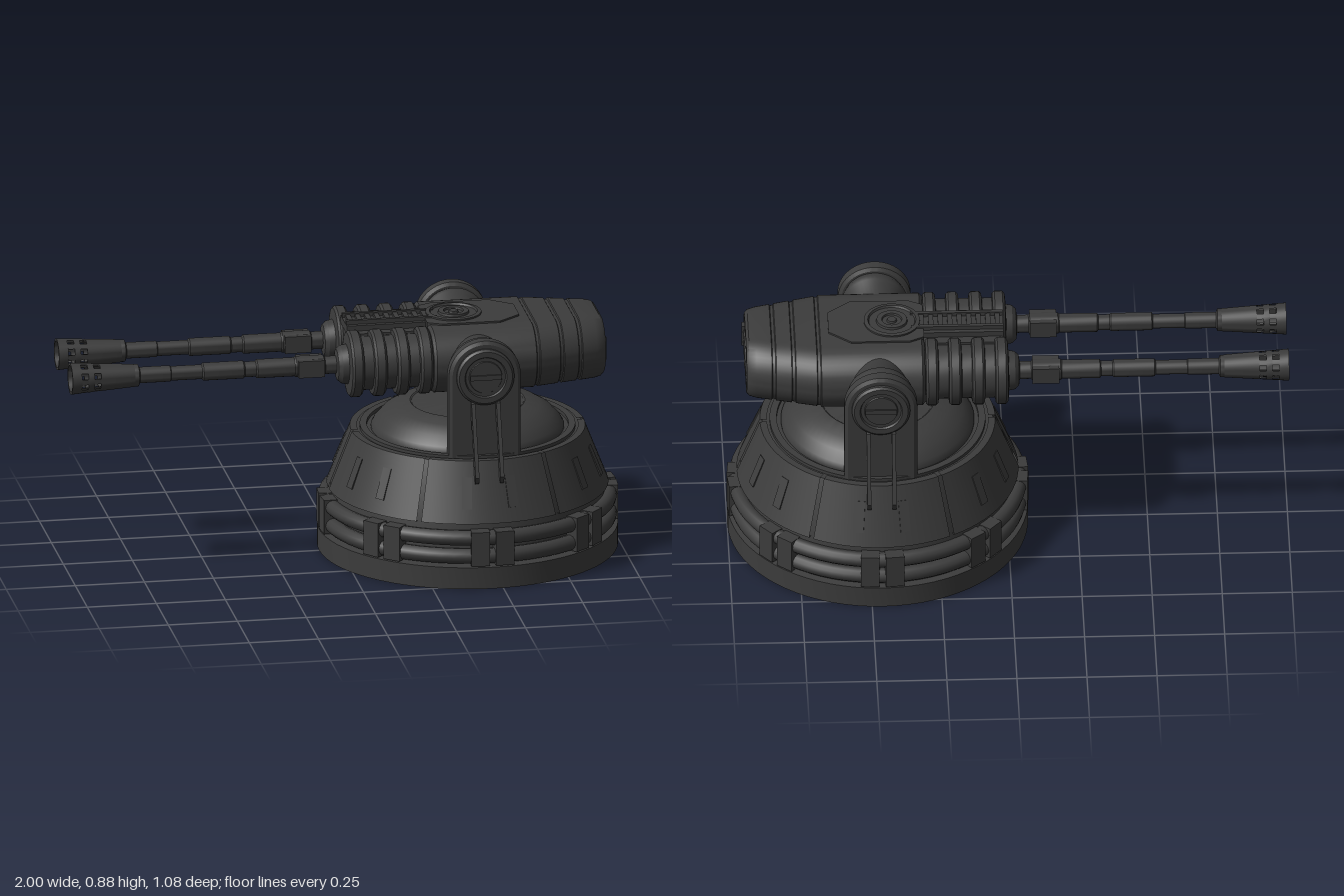
import * as THREE from 'three';
import { toCreasedNormals } from 'three/addons/utils/BufferGeometryUtils.js';

const BX = 0.463;  // turret axis
const GY = 0.742;  // gun axis height
const mat = new THREE.MeshStandardMaterial({ color: 0x3c3c3c, side: THREE.DoubleSide });
const rad = THREE.MathUtils.degToRad;

function add(parent, name, geo, x = 0, y = 0, z = 0) {
  const m = new THREE.Mesh(geo, mat);
  m.name = name;
  m.position.set(x, y, z);
  parent.add(m);
  return m;
}
const group = (parent, name, x = 0, y = 0, z = 0) => {
  const g = new THREE.Group();
  g.name = name;
  g.position.set(x, y, z);
  parent.add(g);
  return g;
};
const box = (x, y, z) => new THREE.BoxGeometry(x, y, z);

// profile of [radius, height] pairs turned around 'x', 'y' or 'z'
function turn(points, axis = 'y', seg = 48, start = 0, length = Math.PI * 2) {
  const g = new THREE.LatheGeometry(points.map(p => new THREE.Vector2(p[0], p[1])), seg, start, length);
  if (axis === 'x') g.rotateZ(-Math.PI / 2);
  if (axis === 'z') g.rotateX(Math.PI / 2);
  return toCreasedNormals(g, rad(32));
}

// a turned shape along x, pulled apart sideways into a rounded slab that tapers to the rear
const spread = x => 0.144 - 0.074 * THREE.MathUtils.clamp((x - 0.66) / 0.27, 0, 1);
function slab(points) {
  const g = new THREE.LatheGeometry(points.map(p => new THREE.Vector2(p[0], p[1])), 48, Math.PI / 48);
  g.rotateZ(-Math.PI / 2);
  const p = g.attributes.position;
  for (let i = 0; i < p.count; i++) {
    const z = p.getZ(i);
    if (Math.abs(z) > 1e-5) p.setZ(i, z + Math.sign(z) * spread(p.getX(i)));
  }
  return toCreasedNormals(g, rad(32));
}

function buildBase(root) {
  const base = group(root, 'base', BX);
  add(base, 'baseRing', turn([[0.505, 0.08], [0.505, 0], [0.537, 0], [0.537, 0.08], [0.49, 0.085]], 'y', 72));
  add(base, 'hullShell', turn([[0.49, 0.08], [0.49, 0.235], [0.412, 0.438], [0.345, 0.438], [0.345, 0.445],
    [0.335, 0.463], [0.305, 0.495], [0.26, 0.522], [0.205, 0.536], [0.2, 0.533], [0, 0.54]], 'y', 72));
  add(base, 'deckRing', turn([[0.385, 0.436], [0.385, 0.45], [0.36, 0.45], [0.36, 0.436]], 'y', 72));
  for (const y of [0.114, 0.182])
    add(base, 'pipeRing', new THREE.TorusGeometry(0.505, 0.028, 12, 72).rotateX(Math.PI / 2), 0, y);
  // paired clamps over the pipes
  for (let i = 0; i < 8; i++) for (const s of [-1, 1]) {
    const pivot = group(base, 'pipeClamp');
    pivot.rotation.y = rad(i * 45 + s * 4.8);
    add(pivot, 'clampFace', box(0.066, 0.126, 0.05), 0, 0.148, 0.512);
  }
  // six armour panels with gaps, each with slot covers
  const slope = Math.atan2(0.085, 0.205);
  for (let i = 0; i < 6; i++) {
    const from = 30 + i * 60;
    add(base, 'armourPanel', turn([[0.488, 0.232], [0.503, 0.232], [0.42, 0.443], [0.395, 0.443]], 'y', 14, rad(from + 1), rad(58)));
    for (const a of [20, 40]) {
      const pivot = group(base, 'slotCover');
      pivot.rotation.y = rad(from + a);
      const slot = add(pivot, 'slot', box(0.036, 0.115, 0.008), 0, 0.335, 0.462);
      slot.rotation.x = -slope;
      slot.rotation.order = 'YXZ';
    }
  }
}

function buildYoke(root, s) {
  const yoke = group(root, 'yoke', BX, 0, 0);
  // round-topped arm with a chamfered rim
  const w = 0.118, shape = new THREE.Shape();
  shape.moveTo(-w, 0.42);
  shape.lineTo(w, 0.42);
  shape.lineTo(w, GY);
  shape.absarc(0, GY, w, 0, Math.PI, false);
  shape.closePath();
  const arm = new THREE.ExtrudeGeometry(shape, { depth: 0.036, bevelThickness: 0.008, bevelSize: 0.012, bevelSegments: 1, curveSegments: 24 });
  add(yoke, 'arm', toCreasedNormals(arm, rad(30)), 0, 0, s > 0 ? 0.326 : -0.362);
  const side = group(yoke, 'trunnion', 0, GY);
  if (s < 0) side.rotation.y = Math.PI;
  add(side, 'hub', turn([[0.1, 0.15], [0.106, 0.26], [0.116, 0.275], [0.118, 0.295], [0.11, 0.32], [0.11, 0.33]], 'z'));
  add(side, 'hubCap', turn([[0.104, 0.36], [0.104, 0.38], [0.096, 0.387], [0.076, 0.387], [0.072, 0.379],
    [0.06, 0.379], [0.058, 0.384], [0, 0.384]], 'z'));
  add(side, 'hubBar', box(0.112, 0.018, 0.008), 0, 0, 0.386);
  // slanted braces from the arm down to the hull
  const brace = new THREE.Shape();
  for (const [z, y] of [[0.36, 0.655], [0.385, 0.645], [0.472, 0.395], [0.462, 0.37], [0.446, 0.38], [0.376, 0.59], [0.36, 0.6]])
    brace.lineTo(z, y);
  brace.curves.shift();
  for (const x of [-0.045, 0.045]) {
    const g = new THREE.ExtrudeGeometry(brace, { depth: 0.014, bevelEnabled: false });
    g.translate(0, 0, -0.007).rotateY(-s * Math.PI / 2);
    add(yoke, 'brace', g, x);
  }
}

function buildBody(root) {
  const body = group(root, 'gunBody', 0, GY);
  add(body, 'housing', slab([[0, 0.3], [0.108, 0.3], [0.118, 0.31], [0.118, 0.67], [0.113, 0.673], [0.113, 0.683], [0.117, 0.686],
    [0.117, 0.76], [0.112, 0.763], [0.112, 0.773], [0.117, 0.776], [0.117, 0.83], [0.112, 0.833], [0.112, 0.843],
    [0.117, 0.846], [0.117, 0.9], [0.113, 0.925], [0.103, 0.935], [0.088, 0.935], [0.085, 0.925], [0, 0.925]]));
  // raised plates on top and underneath
  const plate = new THREE.Shape([[0.3, -0.1], [0.35, -0.125], [0.56, -0.125], [0.64, -0.06],
    [0.64, 0.06], [0.56, 0.125], [0.35, 0.125], [0.3, 0.1]].map(p => new THREE.Vector2(...p)));
  for (const y of [0.124, -0.106]) {
    const g = new THREE.ExtrudeGeometry(plate, { depth: 0.022, bevelEnabled: false });
    add(body, 'coverPlate', g.rotateX(Math.PI / 2), 0, y);
  }
  add(body, 'hatch', turn([[0.1, 0.115], [0.1, 0.13], [0.086, 0.132], [0.082, 0.125], [0.056, 0.125],
    [0.054, 0.133], [0.036, 0.133], [0.034, 0.126], [0.018, 0.126], [0.016, 0.133], [0, 0.133]]), 0.412);
  // front core with the feed track along its top
  add(body, 'frontCore', box(0.3, 0.19, 0.2), 0.17);
  add(body, 'feedBed', box(0.33, 0.03, 0.13), 0.18, 0.1);
  for (const z of [-0.042, 0.042]) add(body, 'feedRail', box(0.33, 0.02, 0.014), 0.18, 0.12, z);
  for (let i = 0; i < 9; i++) add(body, 'feedLink', box(0.018, 0.014, 0.075), 0.035 + i * 0.034, 0.118);

  // rear face: four ports, a bracket and a pair of bowed pipes
  const rear = group(body, 'rearFace', 0.925);
  for (const y of [-0.042, 0.042]) for (const z of [-0.068, 0.062])
    add(rear, 'port', turn([[0.036, -0.005], [0.036, 0.008], [0.028, 0.01], [0.026, 0.003], [0.018, 0.003], [0.016, 0.008], [0, 0.008]], 'x', 24), 0, y, z);
  add(rear, 'bracket', box(0.03, 0.082, 0.028), 0.004, 0, 0.115);
  for (const s of [-1, 1]) {
    const path = new THREE.CatmullRomCurve3([[0.1, 0.022], [0.055, 0.022], [0.025, 0.045], [-0.03, 0.045],
      [-0.07, 0.012], [-0.1, 0.008], [-0.148, 0.008]].map(([z, y]) => new THREE.Vector3(0.008, s * y, z)));
    add(rear, 'rearPipe', new THREE.TubeGeometry(path, 32, 0.006, 8));
  }
}

// perforated flash hider: rings joined by eight bars at each row of holes
function buildMuzzle(parent) {
  const muzzle = group(parent, 'muzzle');
  const outer = x => 0.057 - (x + 1) * 0.07;
  const wall = (a, b, start, len) => turn([[outer(a) - 0.009, a], [outer(a), a], [outer(b), b], [outer(b) - 0.009, b], [outer(a) - 0.009, a]],
    'x', len > 1 ? 32 : 4, start, len);
  for (const [a, b] of [[-1, -0.965], [-0.941, -0.919], [-0.895, -0.77]])
    add(muzzle, 'muzzleRing', wall(a, b, 0, Math.PI * 2));
  for (const [a, b] of [[-0.965, -0.941], [-0.919, -0.895]])
    for (let i = 0; i < 8; i++) add(muzzle, 'muzzleBar', wall(a, b, rad(i * 45 - 11), rad(22)));
}

function buildGun(root, s) {
  const gun = group(root, 'gun', 0, GY, s * 0.143);
  buildMuzzle(gun);
  add(gun, 'barrel', turn([[0, -0.86], [0.03, -0.86], [0.04, -0.77], [0.04, -0.755], [0.029, -0.75], [0.029, -0.64], [0.026, -0.637],
    [0.026, -0.525], [0.032, -0.52], [0.032, -0.375], [0.028, -0.37], [0.028, -0.33], [0.034, -0.325],
    [0.034, -0.19], [0.038, -0.185], [0.038, -0.085], [0.032, -0.08], [0.032, -0.02]], 'x', 24));
  add(gun, 'barrelClamp', box(0.095, 0.062, 0.086), -0.132);
  // ribbed cooling jacket with a rounded nose
  const profile = [[0.03, -0.04], [0.055, -0.036], [0.068, -0.022], [0.072, 0], [0.1, 0.002]];
  for (let i = 0; i < 4; i++) {
    const x = 0.004 + i * 0.083;
    profile.push([0.112, x], [0.12, x + 0.008], [0.12, x + 0.036], [0.112, x + 0.044], [0.096, x + 0.046], [0.096, x + 0.081]);
  }
  add(gun, 'coolingJacket', turn(profile, 'x', 40));
}

export function createModel() {
  const root = new THREE.Group();
  root.name = 'twinGunTurret';
  buildBase(root);
  buildBody(root);
  for (const s of [1, -1]) {
    buildYoke(root, s);
    buildGun(root, s);
  }
  return root;
}
